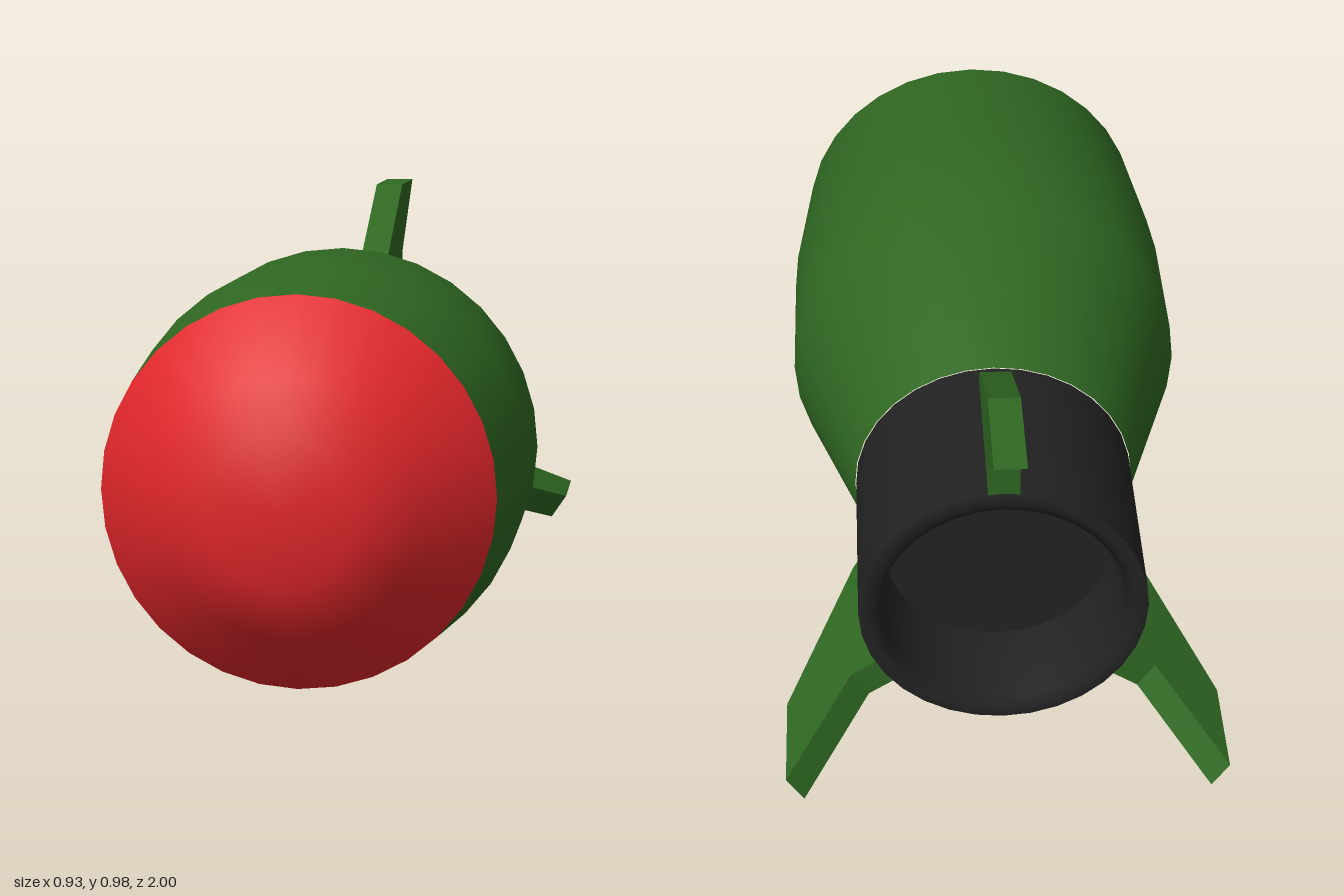
import * as THREE from 'three';

const AXIS_Y = 0.449;
const red = new THREE.MeshStandardMaterial({ color: 0xe0262a });
const green = new THREE.MeshStandardMaterial({ color: 0x2f6822 });
const black = new THREE.MeshStandardMaterial({ color: 0x222222 });

// Surface of revolution about the z axis from [radius, z] pairs, rear to front
function turned(name, profile, material) {
  const geometry = new THREE.LatheGeometry(profile.map(([r, z]) => new THREE.Vector2(r, z)), 32);
  geometry.rotateX(Math.PI / 2);
  const mesh = new THREE.Mesh(geometry, material);
  mesh.name = name;
  return mesh;
}

// Swept-back fin: [z, radius] outline extruded to a plate centred on x = 0
function finGeometry() {
  const outline = [[-0.785, 0.28], [-0.38, 0.28], [-0.38, 0.31], [-0.44, 0.36],
    [-0.77, 0.536], [-1, 0.536], [-0.785, 0.368]];
  const shape = new THREE.Shape(outline.map(([z, r]) => new THREE.Vector2(z, r)));
  const geometry = new THREE.ExtrudeGeometry(shape, { depth: 0.066, bevelEnabled: false });
  return geometry.translate(0, 0, -0.033).rotateY(-Math.PI / 2);
}

export function createModel() {
  const model = new THREE.Group();
  model.name = 'bomb';

  const shell = new THREE.Group();
  shell.name = 'shell';
  shell.position.y = AXIS_Y;
  model.add(shell);

  shell.add(turned('nose', [[0.41, 0.765], [0.267, 0.93], [0.15, 1], [0, 1]], red));
  shell.add(turned('body', [[0.307, -0.352], [0.446, 0.095], [0.446, 0.43], [0.41, 0.765]], green));

  // Tail sleeve, with a rounded lip and a recessed cup at the rear
  shell.add(turned('tailSleeve', [[0.305, -0.79], [0.305, -0.352]], black));
  shell.add(turned('tailLip', [[0.25, -0.58], [0.26, -0.78], [0.283, -0.795], [0.305, -0.79]], black));
  shell.add(turned('tailCup', [[0, -0.58], [0.25, -0.58]], black));

  // One upright fin and two lower ones
  const geometry = finGeometry();
  [['topFin', 0], ['leftFin', -2.157], ['rightFin', 2.157]].forEach(([name, angle]) => {
    const fin = new THREE.Mesh(geometry, green);
    fin.name = name;
    fin.rotation.z = angle;
    shell.add(fin);
  });

  return model;
}
